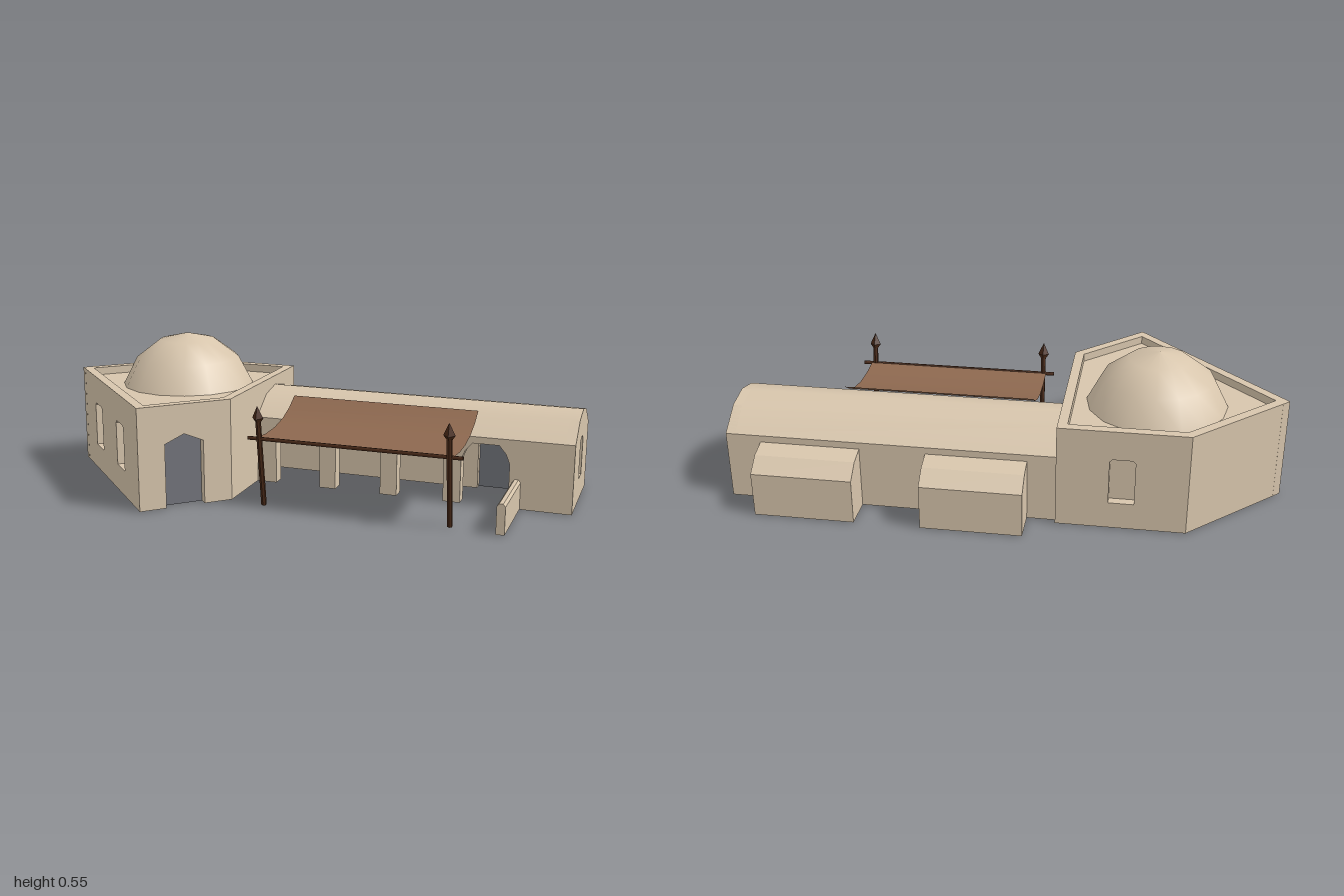
import * as THREE from 'three';

const paint = (name, color, side = THREE.FrontSide) => {
  const m = new THREE.MeshStandardMaterial({ color, side });
  m.name = name;
  return m;
};

export function createModel() {
  const root = new THREE.Group();
  root.name = 'domedHouse';
  const plaster = paint('plaster', 0xd7c5ac, THREE.DoubleSide);
  const doorGrey = paint('doorGrey', 0x73757c);
  const cloth = paint('awningCloth', 0x8d684f, THREE.DoubleSide);
  const wood = paint('darkWood', 0x4a2a18);

  function add(name, geo, mat, parent = root) {
    const m = new THREE.Mesh(geo, mat);
    m.name = name;
    parent.add(m);
    return m;
  }

  // Outline of an opening, from bottom left over the top to bottom right
  function outline({ x, w, y0 = 0, y1, style }) {
    const h = w / 2;
    let top;
    if (style === 'arch') top = [[-h, y1 - 0.065], [-h * 0.84, y1 - 0.03], [-h * 0.55, y1], [h * 0.55, y1], [h * 0.84, y1 - 0.03], [h, y1 - 0.065]];
    else if (style === 'flat') top = [[-h, y1 - 0.01], [-h * 0.8, y1], [h * 0.8, y1], [h, y1 - 0.01]];
    else top = [[-h, y1 - w * 0.22], [0, y1], [h, y1 - w * 0.22]];
    return [[-h, y0], ...top, [h, y0]].map(([px, py]) => new THREE.Vector2(x + px, py));
  }

  // Thick wall from a to b ([x, z], left to right seen from outside) with openings;
  // an opening with a panel is a niche closed at the inner face
  function wall(name, a, b, height, t, openings = [], ridge = []) {
    const dx = b[0] - a[0], dz = b[1] - a[1], len = Math.hypot(dx, dz);
    const g = new THREE.Group();
    g.name = name;
    g.position.set(a[0], 0, a[1]);
    g.rotation.y = Math.atan2(-dz, dx);
    root.add(g);
    const pts = [new THREE.Vector2(0, 0)];
    const holes = [];
    for (const o of openings) {
      if (o.y0) holes.push(new THREE.Path(outline(o).reverse()));
      else pts.push(...outline(o));
      if (o.panel) {
        const panel = new THREE.ExtrudeGeometry(new THREE.Shape(outline(o)), { depth: 0.008, bevelEnabled: false });
        add(o.y0 ? 'windowNiche' : 'door', panel.translate(0, 0, -t - 0.006), o.panel, g);
      }
    }
    pts.push(new THREE.Vector2(len, 0), new THREE.Vector2(len, height));
    for (const [x, y] of ridge) pts.push(new THREE.Vector2(x, y));
    pts.push(new THREE.Vector2(0, height));
    const shape = new THREE.Shape(pts);
    shape.holes.push(...holes);
    const geo = new THREE.ExtrudeGeometry(shape, { depth: t, bevelEnabled: false });
    add(name + 'Body', geo.translate(0, 0, -t), plaster, g);
  }

  // Five-sided tower with parapet
  const corners = [[-1, -0.07], [-0.45, 0.495], [-0.2, 0.25], [-0.2, -0.395], [-0.66, -0.395]];
  const windowAt = (x, w = 0.1) => ({ x, w, y0: 0.1, y1: 0.272, style: 'flat', panel: plaster });
  const towerOpenings = [
    [windowAt(0.238), windowAt(0.55)],
    [{ x: 0.172, w: 0.145, y1: 0.27, panel: doorGrey }],
    [],
    [windowAt(0.23, 0.09)],
    [],
  ];
  corners.forEach((c, i) => wall('towerWall' + (i + 1), c, corners[(i + 1) % 5], 0.38, 0.035, towerOpenings[i]));

  // Sunken roof, slightly inside the outer wall faces
  const roofShape = new THREE.Shape(corners.map(([x, z]) =>
    new THREE.Vector2(-0.5 + (x + 0.5) * 0.97, -(-0.04 + (z + 0.04) * 0.97))));
  const roof = add('towerRoof', new THREE.ShapeGeometry(roofShape), plaster);
  roof.rotation.x = -Math.PI / 2;
  roof.position.y = 0.35;

  // Dome
  const domeProfile = [[0.257, 0.345], [0.2, 0.455], [0.108, 0.525], [0, 0.55]].map(p => new THREE.Vector2(...p));
  add('dome', new THREE.LatheGeometry(domeProfile, 16), plaster).position.set(-0.53, 0, -0.085);

  // Long hall: arcade, inner wall with door, end wall and back wall
  const arches = [-0.035, 0.205, 0.445, 0.685].map(x => ({ x: x + 0.2, w: 0.176, y1: 0.23, style: 'arch' }));
  wall('arcade', [-0.2, 0], [1, 0], 0.255, 0.05, arches);
  wall('innerWall', [-0.2, -0.2], [0.97, -0.2], 0.3, 0.03, [{ x: 0.883, w: 0.125, y1: 0.2, panel: doorGrey }]);
  wall('hallEnd', [1, 0], [1, -0.375], 0.255, 0.035,
    [{ x: 0.185, w: 0.072, y0: 0.09, y1: 0.246, panel: plaster }],
    [[0.281, 0.325], [0.187, 0.345], [0.094, 0.325]]);
  wall('hallBack', [1, -0.375], [-0.2, -0.375], 0.255, 0.03);

  // Strip of surface swept along x through a (z, y) profile
  function sweep(x0, x1, profile) {
    const geo = new THREE.PlaneGeometry(1, 1, 1, profile.length - 1);
    const p = geo.attributes.position;
    for (let i = 0; i < p.count; i++) {
      const [z, y] = profile[Math.floor(i / 2)];
      p.setXYZ(i, i % 2 ? x1 : x0, y, z);
    }
    geo.computeVertexNormals();
    return geo;
  }
  add('vaultRoof', sweep(-0.2, 1, [[-0.375, 0.255], [-0.281, 0.325], [-0.187, 0.345], [-0.094, 0.325], [0, 0.255]]), plaster);

  // Rear alcoves with sloping roofs
  for (const [x0, x1] of [[-0.097, 0.267], [0.507, 0.872]]) {
    const s = new THREE.Shape([[0.36, 0], [0.497, 0], [0.497, 0.165], [0.44, 0.212], [0.375, 0.23], [0.36, 0.23]]
      .map(p => new THREE.Vector2(...p)));
    const geo = new THREE.ExtrudeGeometry(s, { depth: x1 - x0, bevelEnabled: false });
    const alcove = add('rearAlcove', geo, plaster);
    alcove.rotation.y = Math.PI / 2;
    alcove.position.x = x0;
  }

  // Low garden wall with chamfered top
  const low = new THREE.Shape([[-0.015, 0], [0.015, 0], [0.015, 0.1], [0.007, 0.11], [-0.007, 0.11], [-0.015, 0.1]]
    .map(p => new THREE.Vector2(...p)));
  add('lowWall', new THREE.ExtrudeGeometry(low, { depth: 0.29, bevelEnabled: false }), plaster).position.x = 0.8;

  // Sagging awning
  add('awning', sweep(-0.08, 0.637, [[-0.085, 0.33], [-0.03, 0.296], [0.04, 0.27], [0.12, 0.255], [0.21, 0.252], [0.3, 0.26]]), cloth);

  // Crossbar and leaning pointed poles
  const bar = add('crossbar', new THREE.CylinderGeometry(0.007, 0.007, 0.78, 6), wood);
  bar.rotation.z = Math.PI / 2;
  bar.position.set(0.279, 0.257, 0.3);
  for (const x of [-0.067, 0.622]) {
    const pole = new THREE.Group();
    pole.name = 'awningPole';
    pole.position.set(x, 0, 0.263);
    pole.rotation.x = 0.146;
    const shaft = new THREE.CylinderGeometry(0.01, 0.01, 0.335, 6).toNonIndexed();
    shaft.computeVertexNormals();
    add('poleShaft', shaft.translate(0, 0.1675, 0), wood, pole);
    const tip = [[0, 0.32], [0.009, 0.322], [0.021, 0.34], [0, 0.385]].map(p => new THREE.Vector2(...p));
    const spike = new THREE.LatheGeometry(tip, 4).toNonIndexed();
    spike.computeVertexNormals();
    add('poleTip', spike, wood, pole);
    root.add(pole);
  }
  return root;
}
